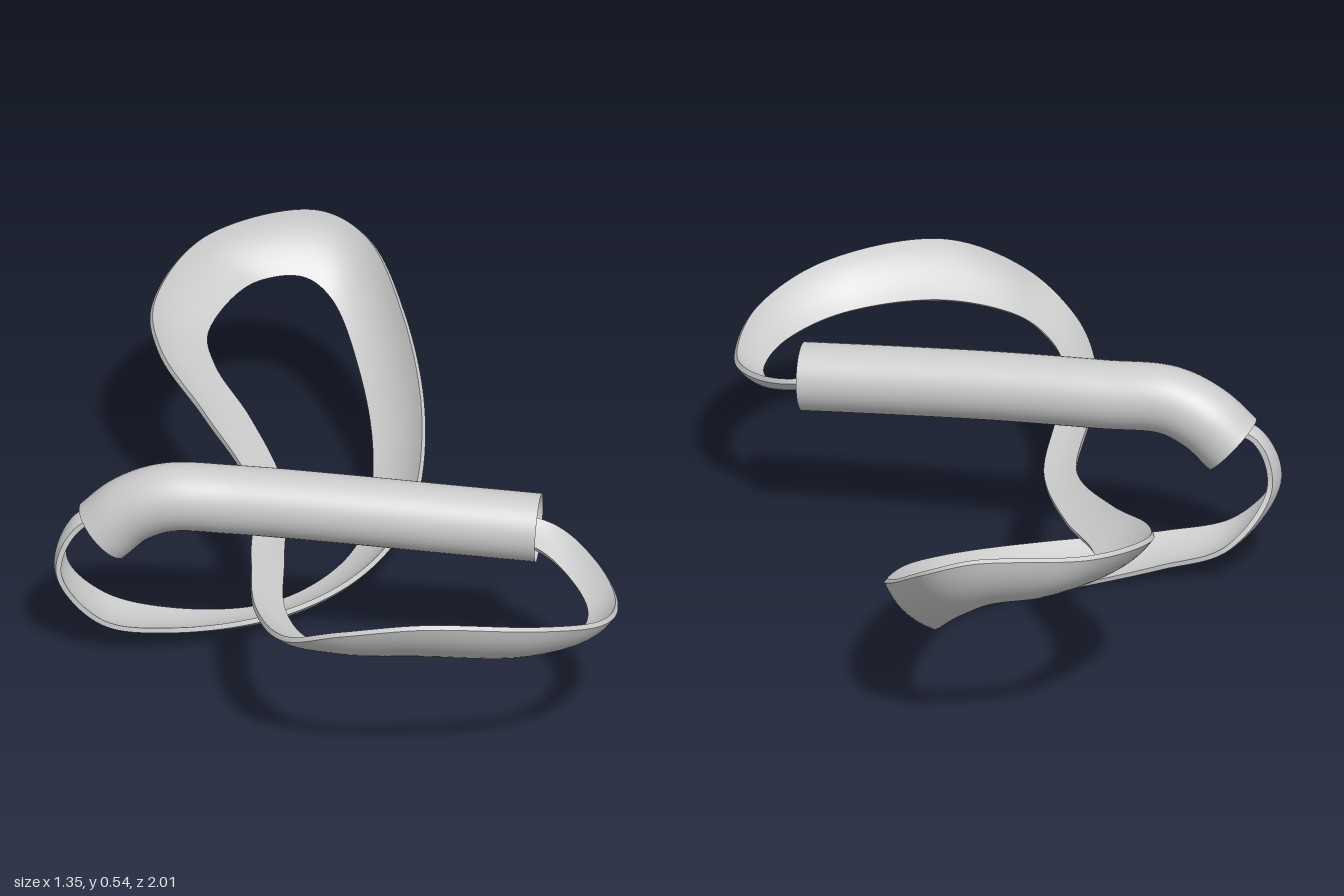
import * as THREE from 'three';

// Edge points of the strap, from one end of the handle round both loops to the other
const outerEdge = [
  [0.36, 0.42, 0.30], [0.52, 0.385, 0.33], [0.62, 0.35, 0.45], [0.665, 0.33, 0.6], [0.63, 0.37, 0.79],
  [0.48, 0.43, 0.935], [0.2, 0.47, 1.0], [0, 0.425, 0.95], [-0.13, 0.355, 0.84], [-0.2, 0.32, 0.63],
  [-0.21, 0.312, 0.35], [-0.21, 0.316, 0], [-0.32, 0.36, -0.28], [-0.425, 0.415, -0.5], [-0.44, 0.455, -0.67],
  [-0.31, 0.51, -0.91], [-0.05, 0.53, -1.0], [0.07, 0.48, -0.96], [0.16, 0.37, -0.77], [0.207, 0.24, -0.47],
  [0.17, 0.145, -0.17], [0.05, 0.09, 0.03], [-0.14, 0.06, 0.17], [-0.4, 0.06, 0.25], [-0.57, 0.095, 0.27],
  [-0.67, 0.22, 0.26], [-0.62, 0.34, 0.25], [-0.5, 0.37, 0.25],
];
const innerEdge = [
  [0.36, 0.38, 0.37], [0.48, 0.35, 0.39], [0.56, 0.31, 0.47], [0.60, 0.29, 0.6], [0.56, 0.30, 0.75],
  [0.43, 0.325, 0.87], [0.2, 0.35, 0.91], [0.01, 0.335, 0.87], [-0.08, 0.315, 0.77], [-0.13, 0.302, 0.6],
  [-0.13, 0.304, 0.35], [-0.13, 0.308, 0], [-0.21, 0.33, -0.31], [-0.295, 0.355, -0.53], [-0.31, 0.37, -0.68],
  [-0.2, 0.395, -0.88], [-0.08, 0.39, -0.92], [-0.01, 0.345, -0.89], [0.06, 0.23, -0.72], [0.09, 0.13, -0.48],
  [0.06, 0.055, -0.22], [-0.03, 0.02, -0.08], [-0.18, 0.005, 0.03], [-0.4, 0.035, 0.1], [-0.56, 0.085, 0.115],
  [-0.657, 0.22, 0.17], [-0.62, 0.34, 0.18], [-0.5, 0.37, 0.19],
];

const toCurve = (pts) => new THREE.CatmullRomCurve3(pts.map((p) => new THREE.Vector3(...p)));

// Thin band swept between two edge curves, dished away from the inside of the loops
function strapGeometry() {
  const outer = toCurve(outerEdge), inner = toCurve(innerEdge);
  const along = 320, across = 8, half = 0.008, dish = 0.09;

  // Cross-section: [position across, side of the thickness], one run per smooth face
  const run = Array.from({ length: across + 1 }, (_, i) => i / across);
  const faces = [
    run.map((u) => [u, 1]),
    [[1, 1], [1, -1]],
    run.map((u) => [1 - u, -1]),
    [[0, -1], [0, 1]],
  ];

  const positions = [], index = [];
  for (const face of faces) {
    const start = positions.length / 3, n = face.length;
    for (let j = 0; j <= along; j++) {
      const t = j / along;
      const a = outer.getPoint(t), b = inner.getPoint(t);
      const width = a.clone().sub(b);
      const tangent = outer.getTangent(t).add(inner.getTangent(t));
      const normal = width.clone().cross(tangent).normalize();
      for (const [u, side] of face) {
        const bulge = 4 * u * (1 - u);
        const lift = dish * width.length() * bulge + side * half * (0.8 + 0.3 * bulge);
        positions.push(...b.clone().addScaledVector(width, u).addScaledVector(normal, lift).toArray());
        if (j < along && u !== undefined) continue;
      }
    }
    for (let j = 0; j < along; j++) {
      for (let i = 0; i < n - 1; i++) {
        const p = start + j * n + i;
        index.push(p, p + 1, p + n + 1, p, p + n + 1, p + n);
      }
    }
  }
  const geometry = new THREE.BufferGeometry();
  geometry.setAttribute('position', new THREE.Float32BufferAttribute(positions, 3));
  geometry.setIndex(index);
  geometry.computeVertexNormals();
  return geometry;
}

export function createModel() {
  const group = new THREE.Group();
  group.name = 'strapWithHandle';
  const material = new THREE.MeshStandardMaterial({ color: 0xcccccc, side: THREE.DoubleSide });

  const strap = new THREE.Mesh(strapGeometry(), material);
  strap.name = 'strap';
  group.add(strap);

  // Open sleeve, bent down at one end
  const sleevePath = toCurve([
    [-0.565, 0.315, 0.215], [-0.5, 0.375, 0.222], [-0.41, 0.415, 0.236], [-0.25, 0.417, 0.252],
    [0, 0.412, 0.288], [0.25, 0.402, 0.322], [0.48, 0.392, 0.35],
  ]);
  const sleeve = new THREE.Mesh(new THREE.TubeGeometry(sleevePath, 80, 0.083, 40), material);
  sleeve.name = 'handleSleeve';
  group.add(sleeve);

  return group;
}
